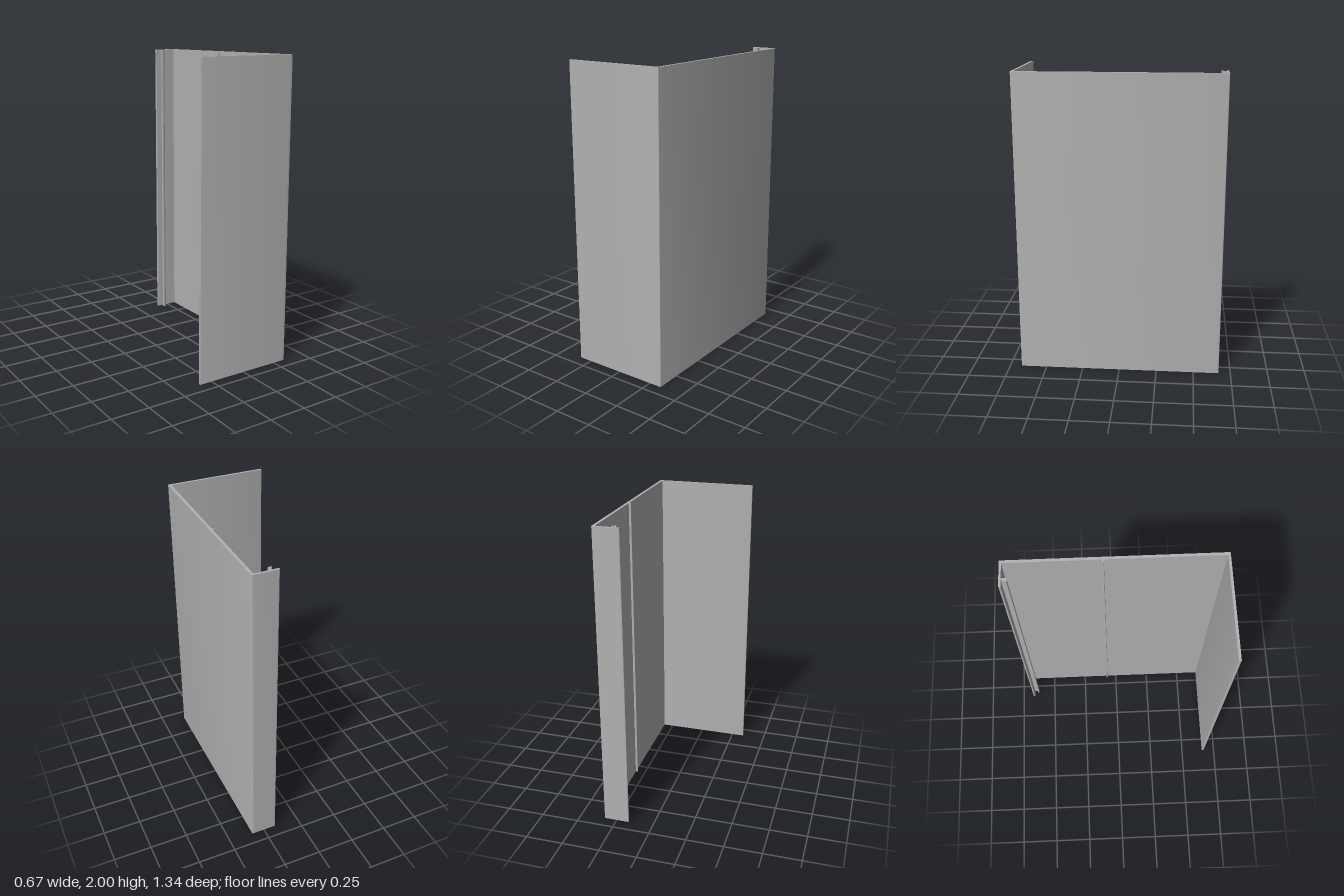
import * as THREE from 'three';
import { toCreasedNormals } from 'three/addons/utils/BufferGeometryUtils.js';

const HEIGHT = 2;

// Closed plan outline from corners [x, z, radius], listed counter-clockwise with z pointing down
function outline(corners) {
  const shape = new THREE.Shape();
  const pts = corners.map(([x, z]) => new THREE.Vector2(x, -z));
  const n = pts.length;
  pts.forEach((p, i) => {
    const r = corners[i][2] || 0;
    const toward = (q) => q.clone().sub(p).setLength(r).add(p);
    const a = r ? toward(pts[(i + n - 1) % n]) : p;
    if (i === 0) shape.moveTo(a.x, a.y);
    else shape.lineTo(a.x, a.y);
    if (r) {
      const b = toward(pts[(i + 1) % n]);
      shape.quadraticCurveTo(p.x, p.y, b.x, b.y);
    }
  });
  shape.closePath();
  return shape;
}

export function createModel() {
  const group = new THREE.Group();
  group.name = 'trimProfile';
  const metal = new THREE.MeshStandardMaterial({ color: 0xb2b2b2 });
  metal.name = 'plain grey';

  const addPart = (name, corners) => {
    let geo = new THREE.ExtrudeGeometry(outline(corners), {
      depth: HEIGHT, bevelEnabled: false, curveSegments: 6,
    });
    geo.rotateX(-Math.PI / 2);
    geo = toCreasedNormals(geo, 0.6);
    const mesh = new THREE.Mesh(geo, metal);
    mesh.name = name;
    group.add(mesh);
  };

  // Wide side panel, with a rounded rear corner and a tight front corner
  addPart('sidePanel', [
    [0.318, 0.672], [0.336, 0.672, 0.003], [0.336, -0.672, 0.009], [0.318, -0.672],
  ]);

  // Long front flange
  addPart('frontFlange', [
    [-0.338, 0.672, 0.003], [0.318, 0.672], [0.318, 0.656], [-0.338, 0.656, 0.003],
  ]);

  // Short rear flange with a rounded free edge
  addPart('rearFlange', [
    [0.165, -0.658, 0.007], [0.318, -0.658], [0.318, -0.672], [0.165, -0.672, 0.007],
  ]);

  // Small clip hook inside the rear flange
  addPart('clipHook', [
    [0.21, -0.658], [0.21, -0.637, 0.003], [0.195, -0.637, 0.005],
    [0.195, -0.624, 0.005], [0.221, -0.624, 0.011], [0.221, -0.658],
  ]);

  // Thin rib on the inner face of the panel
  addPart('innerRib', [
    [0.303, -0.064, 0.005], [0.318, -0.064], [0.318, -0.076], [0.303, -0.076, 0.005],
  ]);

  return group;
}
